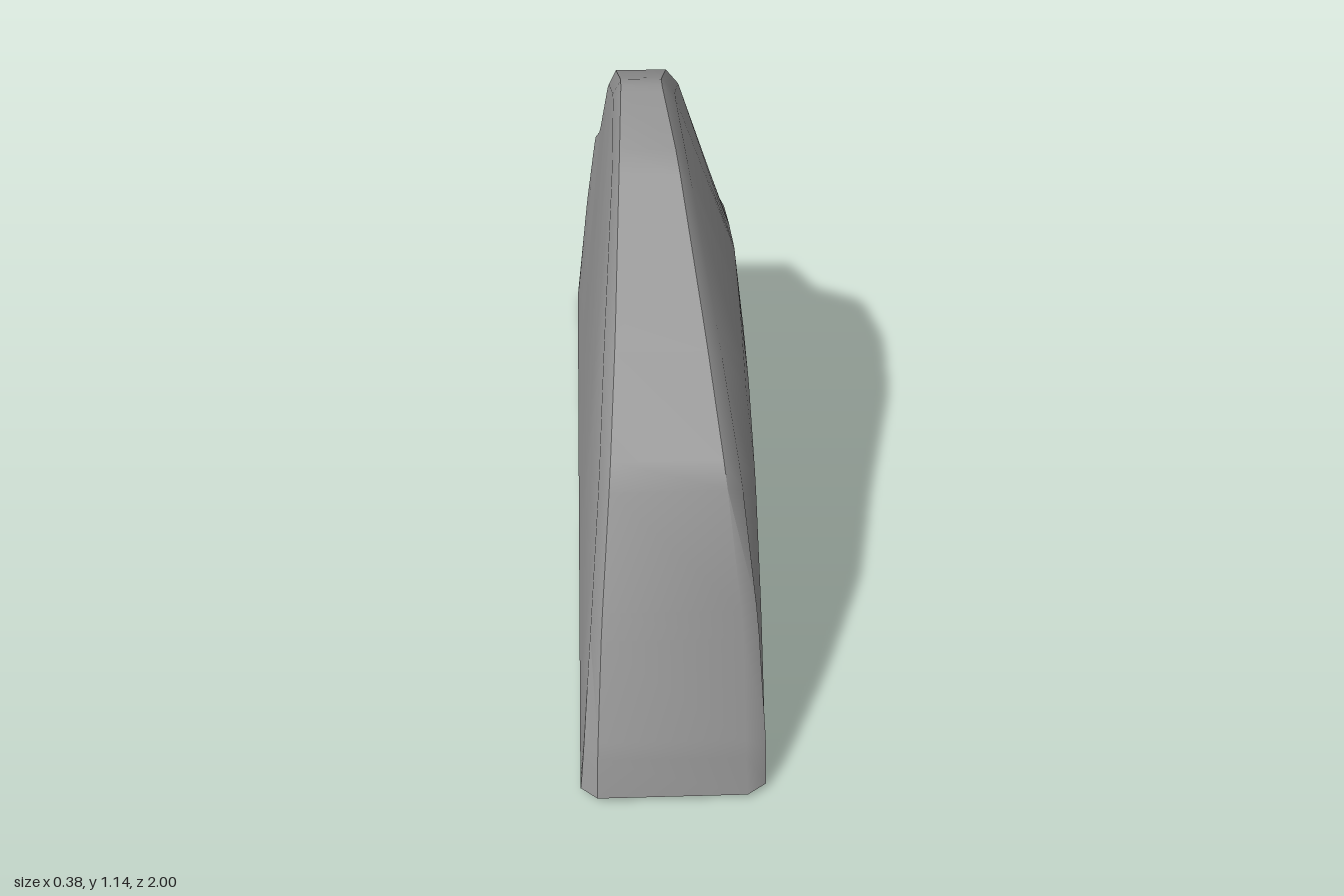
import * as THREE from 'three';
import { toCreasedNormals } from 'three/addons/utils/BufferGeometryUtils.js';

// Outline stations from front to back:
// [z, y, left rim x, right rim x, right chamfer x, shoulder position (1 = at the rim)]
const STATIONS = [
  [1.0, 0.012, -0.16, 0.15, 0.19, 1],
  [0.97, 0.1, -0.158, 0.147, 0.19, 0.99],
  [0.84, 0.33, -0.145, 0.145, 0.178, 0.95],
  [0.68, 0.595, -0.122, 0.115, 0.148, 0.86],
  [0.45, 0.78, -0.105, 0.085, 0.115, 0.81],
  [0.19, 1.07, -0.088, 0.035, 0.06, 0.67],
  [-0.01, 1.14, -0.08, 0.01, 0.04, 0.65],
  [-0.05, 1.138, -0.08, 0.01, 0.04, 0.65],
  [-0.27, 1.058, -0.088, 0.03, 0.058, 0.67],
  [-0.5, 0.81, -0.1, 0.042, 0.07, 0.8],
  [-0.715, 0.685, -0.112, 0.05, 0.078, 0.81],
  [-0.9, 0.39, -0.14, 0.145, 0.178, 0.94],
  [-0.98, 0.13, -0.158, 0.15, 0.19, 0.98],
  [-1.0, 0.012, -0.16, 0.15, 0.19, 1],
];

// Each knee of the outline becomes a narrow bevel
const mix = (a, b, t) => a.map((v, i) => v + (b[i] - v) * t);
const bevelled = STATIONS.flatMap((s, i) => {
  const before = STATIONS[i - 1], after = STATIONS[i + 1];
  return before && after ? [mix(s, before, 0.1), mix(s, after, 0.1)] : [s];
});

// Closed cross-section: left base, over the rim, right base, underside
function section([z, y, xl, xr, xc, k]) {
  const end = Math.abs(z) === 1;
  const s = 0.97;
  const cy = end ? y : y * s;
  const baseY = 0.012 + 0.015 * (1 - Math.abs(z));
  const low = end ? 1 : k - 0.08 * (1 - Math.abs(z)) - 0.02;
  return [
    [-0.195, baseY, z * 0.97],
    [-0.195 + 0.088 * cy, cy, z * s],
    [xl, y, z],
    [xr, y, z],
    [xc, cy, z * s],
    [Math.max(xc, 0.178), end ? y : cy * k, z * s * k],
    [0.19, end ? y : cy * low, z * s * low],
    [0.19, baseY, z * 0.97],
    [0.155, 0, z * 0.97],
    [-0.155, 0, z * 0.97],
  ].map((p) => new THREE.Vector3(...p));
}

function loft(rings) {
  const pos = [];
  const cross = new THREE.Vector3();
  const edge = new THREE.Vector3();
  const tri = (a, b, c) => {
    cross.subVectors(b, a).cross(edge.subVectors(c, a));
    if (cross.length() < 1e-7) return; // collapsed corner
    for (const v of [a, b, c]) pos.push(v.x, v.y, v.z);
  };
  const n = rings[0].length;
  for (let i = 0; i < rings.length - 1; i++) {
    for (let j = 0; j < n; j++) {
      const a = rings[i][j], b = rings[i][(j + 1) % n];
      const c = rings[i + 1][(j + 1) % n], d = rings[i + 1][j];
      tri(a, b, d);
      tri(b, c, d);
    }
  }
  // narrow lips under the front and back edges
  const lip = (ring, front) => {
    for (const [a, b, c] of [[2, 3, 8], [2, 8, 9], [3, 7, 8], [2, 9, 0]]) {
      if (front) tri(ring[a], ring[c], ring[b]);
      else tri(ring[a], ring[b], ring[c]);
    }
  };
  lip(rings[0], true);
  lip(rings[rings.length - 1], false);
  const geo = new THREE.BufferGeometry();
  geo.setAttribute('position', new THREE.Float32BufferAttribute(pos, 3));
  return toCreasedNormals(geo, 0.68);
}

export function createModel() {
  const group = new THREE.Group();
  group.name = 'rockSlab';
  const rock = new THREE.Mesh(
    loft(bevelled.map(section)),
    new THREE.MeshStandardMaterial({ color: 0x929292 })
  );
  rock.name = 'rock';
  group.add(rock);
  return group;
}
